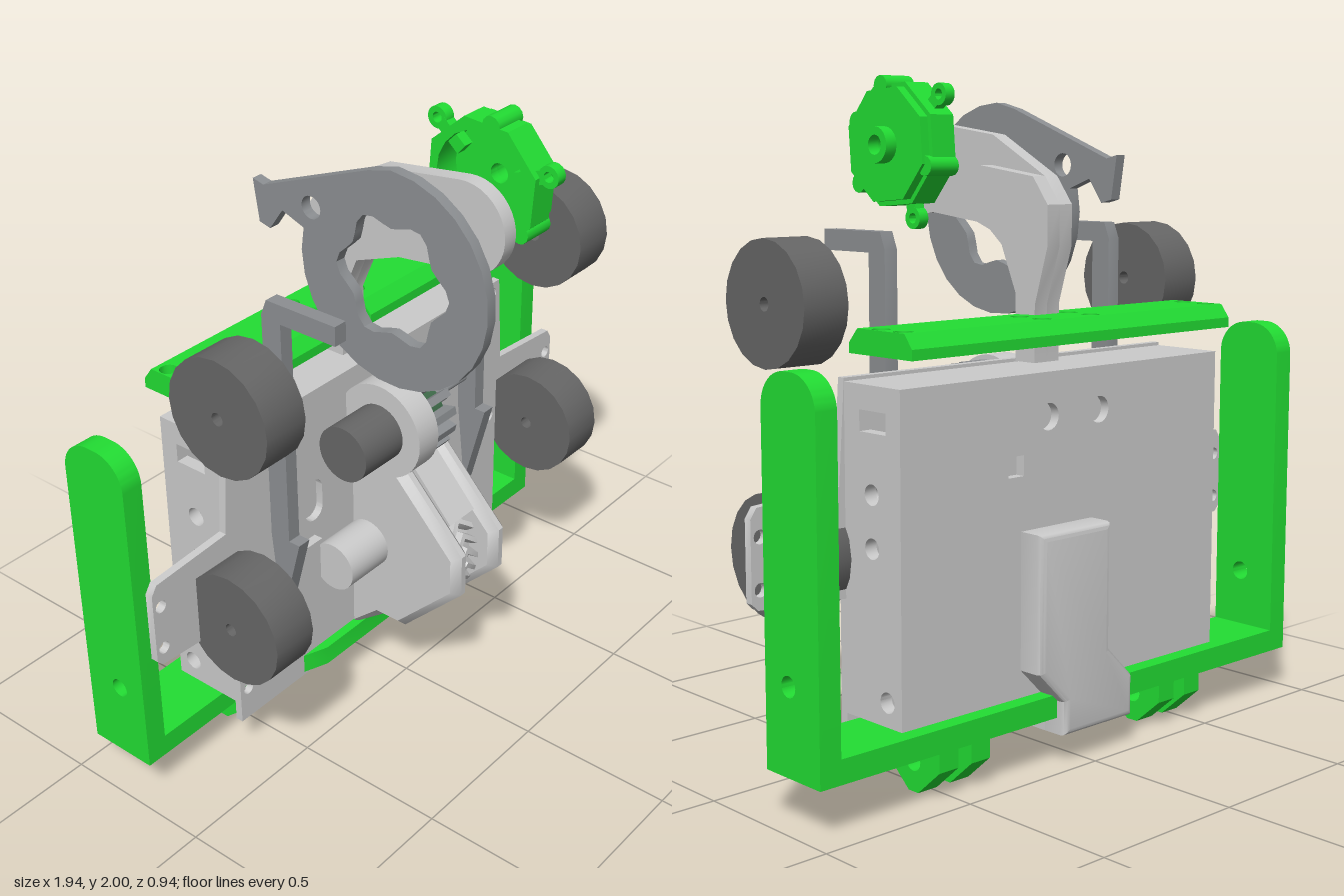
import * as THREE from 'three';
import { toCreasedNormals } from 'three/addons/utils/BufferGeometryUtils.js';

const mat = (color) => new THREE.MeshStandardMaterial({ color });
const GREY = mat(0xcccccc), MID = mat(0x8c8f92), DARK = mat(0x666666), GREEN = mat(0x22dd33), SHADE = mat(0x3f6b4a);

export function createModel() {
  const model = new THREE.Group();

  // ---- helpers ----
  const add = (name, geo, material) => {
    const m = new THREE.Mesh(geo, material);
    m.name = name;
    model.add(m);
    return m;
  };
  const box = (name, m, x0, x1, y0, y1, z0, z1) =>
    add(name, new THREE.BoxGeometry(x1 - x0, y1 - y0, z1 - z0)
      .translate((x0 + x1) / 2, (y0 + y1) / 2, (z0 + z1) / 2), m);
  const poly = (pts) => new THREE.Shape(pts.map((p) => new THREE.Vector2(p[0], p[1])));
  const rect = (a0, a1, b0, b1) => poly([[a0, b0], [a1, b0], [a1, b1], [a0, b1]]);
  const circle = (a, b, r) => new THREE.Shape().absarc(a, b, r, 0, Math.PI * 2);
  const drill = (shape, list, r) => {
    for (const [a, b] of list) shape.holes.push(circle(a, b, r));
    return shape;
  };
  const extrude = (shape, depth, opt = {}) => toCreasedNormals(
    new THREE.ExtrudeGeometry(shape, { depth, bevelEnabled: false, curveSegments: 10, ...opt }), 0.6);
  // profile drawn in (z, y), running along x
  const alongX = (name, m, shape, x0, x1) =>
    add(name, extrude(shape, x1 - x0).rotateY(-Math.PI / 2).translate(x1, 0, 0), m);
  // profile drawn in (x, y), running along z
  const alongZ = (name, m, shape, z0, z1) => add(name, extrude(shape, z1 - z0).translate(0, 0, z0), m);
  // profile drawn in (x, -z), running up y
  const alongY = (name, m, shape, y0, y1) =>
    add(name, extrude(shape, y1 - y0).rotateX(-Math.PI / 2).translate(0, y0, 0), m);
  const cylX = (name, m, x0, x1, y, z, r, seg = 40) =>
    add(name, new THREE.CylinderGeometry(r, r, x1 - x0, seg).rotateZ(Math.PI / 2)
      .translate((x0 + x1) / 2, y, z), m);

  // ---- U-shaped bumper frame with hinge lugs ----
  box('frameBar', GREEN, -0.97, 0.97, 0.14, 0.21, -0.44, -0.21);
  for (const s of [-1, 1]) {
    const span = (a, b) => (s > 0 ? [a, b] : [-b, -a]);
    const arm = new THREE.Shape();
    arm.moveTo(-0.44, 0.14).lineTo(-0.21, 0.14).lineTo(-0.21, 1.12);
    arm.absarc(-0.31, 1.12, 0.1, 0, Math.PI / 2).absarc(-0.34, 1.12, 0.1, Math.PI / 2, Math.PI);
    drill(arm, [[-0.31, 0.39]], 0.03);
    alongX('frameArm', GREEN, arm, ...span(0.9, 0.97));
    for (const x of [0.36, 0.48]) {
      const lug = poly([[-0.43, 0.14], [-0.43, 0.08], [-0.34, 0], [-0.3, 0], [-0.21, 0.08], [-0.21, 0.14]]);
      alongX('hingeLug', GREEN, drill(lug, [[-0.32, 0.09]], 0.03), ...span(x, x + 0.07));
    }

    // wheels
    for (const y of [0.655, 1.36])
      alongX('wheel', DARK, drill(circle(0, y, 0.18), [[0, y]], 0.02), ...span(0.65, 0.8));

    // upright hooks with a barbed lower end
    const low = s > 0 ? 0.49 : 0.46;
    alongX('hook', MID, poly([[-0.13, low + 0.3], [-0.1, low], [-0.02, low + 0.3], [-0.06, low + 0.3],
      [-0.06, 1.49], [0.14, 1.49], [0.14, 1.55], [-0.11, 1.55], [-0.13, 1.5]]), ...span(0.435, 0.48));

    // side walls of the case
    const wall = rect(-0.39, -0.15, 0.21, 1.15);
    wall.holes.push(rect(-0.33, -0.22, 1.02, 1.08));
    drill(wall, [[-0.27, 0.85], [-0.27, 0.7], [-0.33, 0.28]], 0.03);
    alongX('caseSide', GREY, wall, ...span(0.61, 0.65));
  }

  // ---- top rail: drilled core with sloped front and rear edges ----
  const railHoles = [];
  for (const x of [-0.62, -0.1, 0.1, 0.62]) for (const z of [0.28, 0.37]) railHoles.push([x, z]);
  const core = poly([[-0.65, 0.22], [-0.05, 0.22], [-0.05, 0.24], [0.05, 0.24], [0.05, 0.22],
    [0.65, 0.22], [0.65, 0.4], [-0.65, 0.4]]);
  alongY('railCore', GREEN, drill(core, railHoles, 0.027), 1.23, 1.3);
  alongX('railRearEdge', GREEN, poly([[-0.44, 1.23], [-0.4, 1.23], [-0.4, 1.3], [-0.41, 1.3], [-0.44, 1.26]]), -0.65, 0.65);
  for (const [a, b] of [[-0.65, -0.05], [0.05, 0.65]])
    alongX('railFrontEdge', GREEN, poly([[-0.22, 1.23], [-0.18, 1.23], [-0.18, 1.26], [-0.215, 1.3], [-0.22, 1.3]]), a, b);

  // ---- case and front plate ----
  const back = drill(rect(-0.65, 0.65, 0.21, 1.15), [[0.09, 1.02], [-0.12, 1.02], [-0.12, 0.3], [0.09, 0.3]], 0.04);
  back.holes.push(rect(0.19, 0.25, 0.86, 0.92));
  alongZ('caseBack', GREY, back, -0.39, -0.36);
  box('caseTop', GREY, -0.61, 0.61, 1.12, 1.15, -0.36, -0.15);
  const half = [[0.65, 0.14], [0.65, 0.54], [0.95, 0.56], [0.97, 0.58], [0.97, 0.81], [0.95, 0.84], [0.67, 0.86], [0.65, 1.16]];
  const plate = poly([...half, ...half.map(([x, y]) => [-x, y]).reverse()]);
  const bolts = [[0.1, 1.12], [0.54, 0.82]];
  for (const s of [-1, 1]) bolts.push(...[1.12, 0.65, 0.25].map((y) => [s * 0.615, y]), [s * 0.94, 0.76], [s * 0.94, 0.615]);
  drill(plate, bolts, 0.02);
  const slot = new THREE.Path().absarc(-0.29, 0.81, 0.04, 0, Math.PI).absarc(-0.29, 0.745, 0.04, Math.PI, Math.PI * 2);
  plate.holes.push(slot);
  alongZ('frontPlate', GREY, plate, -0.155, -0.13);

  // sloped lip along the lower front edge
  alongY('frontLip', GREEN, poly([[-0.36, 0.13], [-0.28, 0.1], [0.28, 0.1], [0.36, 0.13], [0.36, 0.2], [-0.36, 0.2]]
    .map(([x, z]) => [x, z])), 0.15, 0.215);

  // ---- offset rear duct ----
  const duct = poly([[0.18, 0.68], [-0.07, 0.68], [-0.07, 0.31], [-0.17, 0.21], [-0.17, 0.11], [0.08, 0.11], [0.08, 0.2], [0.18, 0.3]]);
  add('rearDuct', extrude(duct, 0.065, { bevelEnabled: true, bevelSize: 0.02, bevelThickness: 0.02, bevelSegments: 3 })
    .translate(0, 0, -0.455), GREY);
  box('ductFoot', GREY, -0.19, 0.1, 0.09, 0.14, -0.45, -0.3);

  // ---- lower gearbox: two bevelled cheeks, a cover and a herringbone gear ----
  const cheek = poly([[-0.13, 0.2], [-0.01, 0.29], [0.08, 0.29], [0.3, 0.51], [0.3, 0.65], [0.08, 0.88], [0, 0.96], [-0.13, 0.97]]);
  for (const x of [-0.06, 0.13]) {
    const g = extrude(cheek, 0.02, { bevelEnabled: true, bevelSize: 0.025, bevelThickness: 0.025, bevelOffset: -0.025, bevelSegments: 1 });
    add('gearboxCheek', g.rotateY(-Math.PI / 2).translate(x - 0.025, 0, 0), GREY);
  }
  alongX('gearboxCover', GREY, poly([[-0.13, 0.8], [0.02, 0.86], [0.2, 0.69], [0.22, 0.71], [0.02, 0.93], [-0.13, 0.95]]), -0.06, 0.06);
  const gearPts = [], N = 24;
  for (let i = 0; i < N; i++)
    for (const [t, r] of [[0, 0.17], [0.25, 0.17], [0.42, 0.205], [0.78, 0.205]]) {
      const a = ((i + t) / N) * Math.PI * 2;
      gearPts.push([Math.cos(a) * r, Math.sin(a) * r]);
    }
  const gear = new THREE.ExtrudeGeometry(poly(gearPts), { depth: 0.1, steps: 4, bevelEnabled: false });
  const p = gear.attributes.position;
  for (let i = 0; i < p.count; i++) {
    const a = -4 * Math.abs(p.getZ(i) - 0.05), x = p.getX(i), y = p.getY(i);
    p.setXY(i, x * Math.cos(a) - y * Math.sin(a), x * Math.sin(a) + y * Math.cos(a));
  }
  add('herringboneGear', toCreasedNormals(gear, 0.5).rotateY(-Math.PI / 2).translate(0.04, 0.57, 0.05), GREY);
  cylX('lowerMotor', GREY, -0.3, -0.13, 0.57, -0.05, 0.08);
  box('motorBracket', GREY, -0.44, -0.29, 0.5, 0.65, -0.13, -0.1);

  // ---- upper motor and pinion ----
  cylX('motorBody', DARK, -0.3, -0.13, 1, 0, 0.09);
  cylX('motorFlange', GREY, -0.13, -0.04, 1, 0, 0.155);
  cylX('pinionCore', SHADE, -0.04, 0.06, 1, 0, 0.1);
  cylX('pinionFace', GREY, 0.06, 0.075, 1, 0, 0.075);
  for (let i = 0; i < 14; i++)
    add('pinionTooth', new THREE.BoxGeometry(0.1, 0.05, 0.025).translate(0.02, 0.115, 0)
      .rotateX((i / 14) * Math.PI * 2).translate(0, 1, 0), MID);
  cylX('shaftCollar', MID, 0.07, 0.17, 1, 0, 0.03, 20);
  cylX('shaft', MID, 0.1, 0.29, 1, 0, 0.012, 16);

  // ---- raised arm: wide hub layer plus narrower stiffener ----
  const spine = [[-0.27, 1.7], [-0.33, 1.62], [-0.33, 1.5], [-0.28, 1.33], [-0.28, 1.16]];
  const armA = new THREE.Shape().moveTo(-0.28, 1.16).lineTo(-0.2, 1.16).lineTo(-0.2, 1.36).lineTo(-0.14, 1.5).lineTo(0.02, 1.56);
  armA.absarc(0.25, 1.72, 0.14, -1.8, 1.7);
  armA.lineTo(-0.05, 1.82);
  for (const q of spine.slice(0, 4)) armA.lineTo(...q);
  alongX('armPlate', GREY, drill(armA, [[0.2, 1.74], [-0.24, 1.26]], 0.03), -0.06, -0.01);
  alongX('armStiffener', GREY, drill(poly([[-0.2, 1.16], [-0.2, 1.36], [-0.14, 1.5], [-0.02, 1.6], [0.03, 1.68],
    [-0.05, 1.73], ...spine]), [[-0.24, 1.26]], 0.03), -0.01, 0.04);

  // ---- ring plate with a tail and scalloped opening ----
  const ring = new THREE.Shape().moveTo(-0.35, 1.63).lineTo(-0.31, 1.62).lineTo(-0.26, 1.69).lineTo(-0.18, 1.66);
  ring.absarc(0.14, 1.59, 0.33, Math.PI * 1.0, Math.PI * 2.5);
  ring.lineTo(0.06, 1.9).lineTo(-0.33, 1.75).lineTo(-0.37, 1.76);
  const opening = [];
  for (let i = 0; i < 36; i++) {
    const a = (i / 36) * Math.PI * 2, r = 0.18 + 0.02 * Math.cos(6 * a);
    opening.push([0.14 + Math.cos(a) * r, 1.59 + Math.sin(a) * r]);
  }
  ring.holes.push(poly(opening));
  alongX('ringPlate', MID, drill(ring, [[-0.15, 1.73]], 0.035), -0.24, -0.205);

  // ---- cup-shaped end cap with three drilled ears ----
  const CY = 1.79, CZ = 0.2;
  const octagon = (r) => poly(Array.from({ length: 8 }, (_, i) => {
    const a = ((i + 0.4) / 8) * Math.PI * 2;
    return [CZ + Math.cos(a) * r, CY + Math.sin(a) * r];
  }));
  const wallRing = octagon(0.195);
  wallRing.holes.push(circle(CZ, CY, 0.155));
  alongX('capWall', GREEN, wallRing, 0.08, 0.17);
  alongX('capFace', GREEN, drill(octagon(0.18), [[CZ, CY]], 0.03), 0.17, 0.2);
  alongX('capBoss', GREEN, drill(circle(CZ, CY, 0.055), [[CZ, CY]], 0.03), 0.2, 0.24);
  for (const deg of [18, 139, 257]) {
    const a = (deg * Math.PI) / 180, z = CZ + Math.cos(a) * 0.225, y = CY + Math.sin(a) * 0.225;
    alongX('capEar', GREEN, drill(circle(z, y, 0.033), [[z, y]], 0.016), 0.1, 0.135);
    add('capEarWeb', new THREE.BoxGeometry(0.035, 0.1, 0.04).translate(0, 0.03, 0)
      .rotateX(Math.PI / 2 - a).translate(0.117, CY + Math.sin(a) * 0.13, CZ + Math.cos(a) * 0.13), GREEN);
  }
  for (const deg of [80, 200, 320]) {
    const a = (deg * Math.PI) / 180;
    cylX('capLobe', GREEN, 0.08, 0.19, CY + Math.sin(a) * 0.18, CZ + Math.cos(a) * 0.18, 0.03, 12);
  }
  return model;
}
